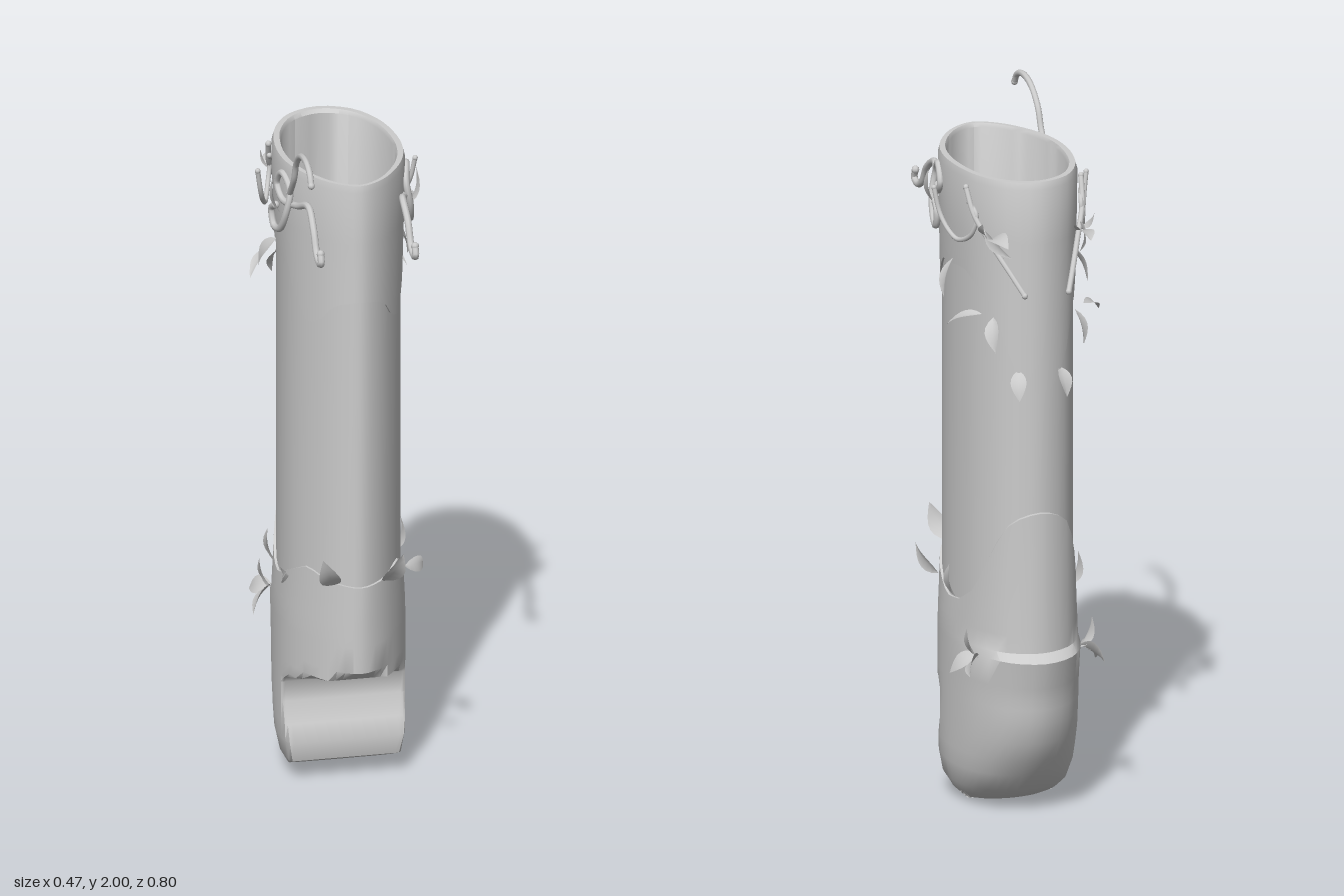
import * as THREE from 'three';
import { toCreasedNormals } from 'three/addons/utils/BufferGeometryUtils.js';

const V = (x, y, z) => new THREE.Vector3(x, y, z);
const mat = new THREE.MeshStandardMaterial({ color: 0xcccccc });
const thinMat = new THREE.MeshStandardMaterial({ color: 0xcccccc, side: THREE.DoubleSide });

// Half of the oval cross-section, [x, z] from front to back
const half = [[0, 0.28], [0.06, 0.25], [0.115, 0.18], [0.155, 0.09], [0.17, 0],
  [0.165, -0.1], [0.14, -0.2], [0.085, -0.285], [0, -0.32]];
const outline = [...half, ...half.slice(1, -1).reverse().map(([x, z]) => [-x, z])];
const N = 48;
const section = new THREE.CatmullRomCurve3(outline.map(([x, z]) => V(x, 0, z)), true)
  .getPoints(N).slice(0, N);

// Piecewise linear lookup; table is [key, value] with falling keys
function lookup(table, k) {
  if (k >= table[0][0]) return table[0][1];
  for (let i = 1; i < table.length; i++) {
    const [k0, v0] = table[i - 1], [k1, v1] = table[i];
    if (k >= k1) return v0 + (v1 - v0) * (k0 - k) / (k0 - k1);
  }
  return table[table.length - 1][1];
}
const surfaceX = z => lookup(half.map(([x, zz]) => [zz, x]), z);

// Skin through rows of [y or y(z), width scale, front limit, back reach, front scale]
function loft(name, rows) {
  const pos = [], idx = [];
  rows.forEach(([y, sx, front = 1, back = -0.32, sf = 1], r) => {
    section.forEach((p, j) => {
      const z = Math.min(p.z > 0 ? p.z * sf : p.z * back / -0.32, front);
      pos.push(p.x * sx, typeof y === 'function' ? y(p.z) : y, z);
      if (r === rows.length - 1) return;
      const a = r * N + j, b = r * N + (j + 1) % N;
      idx.push(a, a + N, b, b, a + N, b + N);
    });
  });
  const g = new THREE.BufferGeometry();
  g.setAttribute('position', new THREE.Float32BufferAttribute(pos, 3));
  g.setIndex(idx);
  const mesh = new THREE.Mesh(toCreasedNormals(g, 0.75), mat);
  mesh.name = name;
  return mesh;
}

// Curling vine with rounded ends
function tendril(name, points, radius) {
  const group = new THREE.Group();
  group.name = name;
  const curve = new THREE.CatmullRomCurve3(points);
  group.add(new THREE.Mesh(new THREE.TubeGeometry(curve, points.length * 5, radius, 8), mat));
  for (const p of [points[0], points[points.length - 1]]) {
    const tip = new THREE.Mesh(new THREE.SphereGeometry(radius * 1.15, 8, 6), mat);
    tip.position.copy(p);
    group.add(tip);
  }
  return group;
}

// Pointed, slightly folded and bent leaf from base to tip
function leaf(base, tip, width, out) {
  const g = new THREE.PlaneGeometry(2, 1, 2, 7);
  const dir = tip.clone().sub(base);
  const side = dir.clone().cross(out).normalize();
  const up = side.clone().cross(dir).normalize();
  const p = g.attributes.position;
  for (let i = 0; i < p.count; i++) {
    const s = p.getX(i), t = p.getY(i) + 0.5;
    const w = width * 0.5 * Math.sin(Math.PI * Math.pow(t, 0.8));
    const q = base.clone().addScaledVector(dir, t).addScaledVector(side, s * w)
      .addScaledVector(up, Math.abs(s) * w * 0.3 + Math.sin(Math.PI * t) * dir.length() * 0.1);
    p.setXYZ(i, q.x, q.y, q.z);
  }
  g.computeVertexNormals();
  const mesh = new THREE.Mesh(g, thinMat);
  mesh.name = 'leaf';
  return mesh;
}

export function createModel() {
  const model = new THREE.Group();
  model.name = 'sheath';

  // Scalloped borders of the two metal fittings, height by z
  const throatEdge = z => lookup([[0.28, 1.53], [0.24, 1.51], [0.2, 1.45], [0.155, 1.43],
    [0.1, 1.5], [0.04, 1.57], [0, 1.58], [-0.13, 1.59], [-0.2, 1.55], [-0.26, 1.47],
    [-0.3, 1.32], [-0.32, 1.26]], z);
  const chapeEdge = z => lookup([[0.28, 0.66], [0.22, 0.67], [0.16, 0.69], [0.08, 0.65],
    [-0.02, 0.6], [-0.1, 0.61], [-0.18, 0.66], [-0.24, 0.78], [-0.29, 0.88], [-0.32, 0.91]], z);

  model.add(loft('body', [
    [1.75, 0.98, 1, -0.313, 0.97],
    [0.5, 0.98, 1, -0.313, 0.97],
  ]));

  // Inner lining, rim and throat as one skin
  model.add(loft('throat', [
    [0.12, 0, -0.1, -0.1],
    [0.14, 0.65, 0.02, -0.2, 0.88],
    [0.34, 0.88, 0.02, -0.285, 0.9],
    [0.4, 0.88, 0.02, -0.285, 0.9],
    [0.44, 0.88, 1, -0.285, 0.9],
    [1.87, 0.9, 1, -0.285, 0.9],
    [1.88, 0.93, 1, -0.295, 0.93],
    [1.88, 1.03, 1, -0.312, 0.97],
    [1.86, 1.06, 1, -0.32, 0.985],
    [1.7, 1.04, 1, -0.322, 0.99],
    [throatEdge, 1.01, 1, -0.325, 1.01],
    [throatEdge, 0.97, 1, -0.31, 0.96],
  ]));

  // Chape with the front overhang, back spur and blunt foot
  model.add(loft('chape', [
    [chapeEdge, 0.97, 1, -0.31, 0.96],
    [chapeEdge, 1.02, 1, -0.325, 1],
    [0.55, 1.05, 1, -0.325],
    [0.5, 1.06, 1, -0.327],
    [0.48, 1.06, 1, -0.365],
    [0.4, 1.06, 1, -0.345],
    [0.365, 1.06, 0.23, -0.338],
    [0.335, 1.06, 0.13, -0.335],
    [0.31, 1.06, 0.05, -0.332],
    [0.29, 1.06, 0.035, -0.328],
    [0.23, 1.06, 0.035, -0.315],
    [0.17, 1.06, 0.065, -0.28],
    [0.12, 1.05, 0.085, -0.25],
    [0.06, 0.98, 0.07, -0.2],
    [0.03, 0.88, 0.005, -0.15],
    [0.005, 0.72, -0.05, -0.09],
    [0, 0, -0.06, -0.06],
  ]));

  // Tall hook rising over the rim on one side only
  model.add(tendril('rimHook', [[0.1, 1.8], [0.16, 1.87], [0.19, 1.93], [0.25, 1.977],
    [0.32, 1.989], [0.37, 1.972], [0.39, 1.945]].map(([z, y]) => V(-0.167, y, z)), 0.009));

  for (const s of [1, -1]) {
    // Front vine curl with a loop
    model.add(tendril('frontVine', [[0.365, 1.725], [0.375, 1.7], [0.345, 1.69], [0.31, 1.705],
      [0.27, 1.76], [0.2, 1.8], [0.13, 1.775], [0.05, 1.765], [0.01, 1.8], [0.05, 1.845],
      [0.1, 1.81], [0.1, 1.74], [0.06, 1.68], [0.015, 1.675], [0, 1.72], [0.03, 1.74]]
      .map(([z, y], i) => V(s * (Math.max(surfaceX(z) + 0.015, 0.135) + (i > 10 ? 0.012 : 0)), y, z)),
      0.01));
    // Side vine springing outward
    model.add(tendril('sideVine', [[0.225, 1.81, -0.055], [0.213, 1.74, -0.07], [0.2, 1.7, -0.1],
      [0.185, 1.68, -0.14], [0.165, 1.71, -0.2], [0.155, 1.77, -0.215], [0.165, 1.8, -0.18]]
      .map(([x, y, z]) => V(s * x, y, z)), 0.007));
    // Back vine drooping behind
    model.add(tendril('backVine', [[0.17, 1.84, -0.17], [0.16, 1.77, -0.21], [0.125, 1.69, -0.27],
      [0.09, 1.62, -0.33], [0.065, 1.57, -0.37]].map(([x, y, z]) => V(s * x, y, z)), 0.008));

    // Leaves: base, tip, width, facing
    const leaves = [
      [[0.125, 1.71, -0.26], [0.122, 1.72, -0.395], 0.055, [0.3, 1, 0]],
      [[0.14, 1.72, -0.26], [0.165, 1.77, -0.3], 0.035, [1, 0, -0.5]],
      [[0.14, 1.73, -0.24], [0.1, 1.68, -0.36], 0.035, [1, 0, -0.5]],
      [[0.18, 1.72, 0.06], [0.205, 1.83, 0.05], 0.045, [1, 0, 0]],
      [[0.17, 1.6, -0.06], [0.212, 1.5, -0.105], 0.05, [1, 0.3, 0]],
      [[0.15, 1.49, -0.25], [0.225, 1.44, -0.16], 0.035, [0.5, 1, 0]],
      [[0.12, 1.48, -0.26], [0.13, 1.39, -0.31], 0.045, [1, 0, -1]],
      [[0.06, 1.33, -0.3], [0.07, 1.25, -0.34], 0.045, [0.4, 0, -1]],
      [[0.17, 0.61, -0.08], [0.19, 0.71, -0.085], 0.055, [1, 0, 0]],
      [[0.165, 0.63, 0.08], [0.195, 0.69, 0.19], 0.045, [1, 0, 0]],
      [[0.07, 0.665, 0.25], [0.115, 0.765, 0.305], 0.06, [0.3, 0, 1]],
      [[0.15, 0.48, -0.22], [0.215, 0.415, -0.16], 0.055, [1, 0.3, 0]],
      [[0.15, 0.48, -0.22], [0.2, 0.44, -0.29], 0.055, [1, 0.3, 0]],
      [[0.15, 0.47, -0.22], [0.185, 0.56, -0.22], 0.05, [1, 0, 0]],
    ];
    for (const [b, t, w, o] of leaves) {
      const m = ([x, y, z]) => V(s * x, y, z);
      model.add(leaf(m(b), m(t), w, m(o)));
    }
  }
  return model;
}
